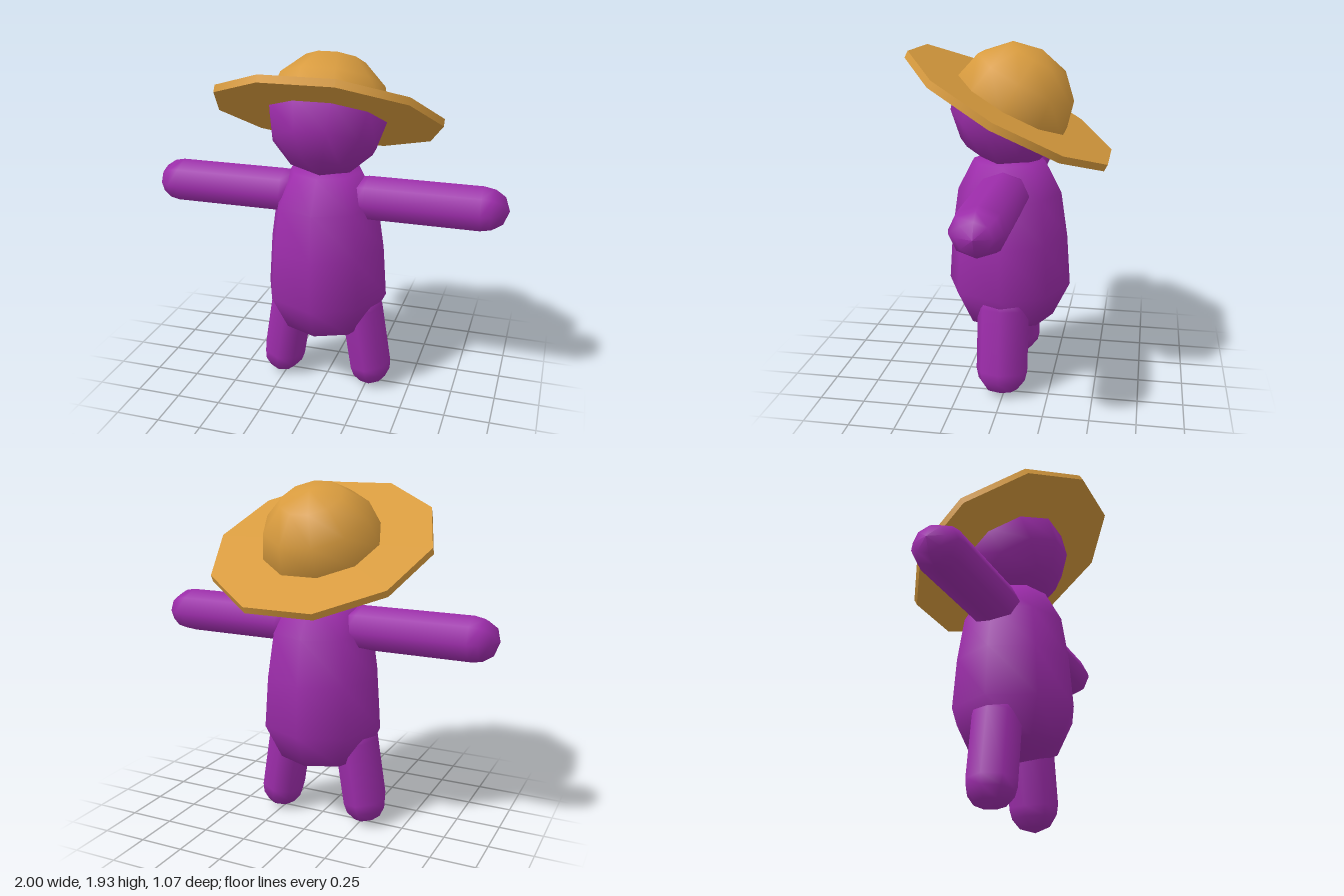
import * as THREE from 'three';

const purple = new THREE.MeshStandardMaterial({ name: 'purple', color: 0x9c2caa });
const straw = new THREE.MeshStandardMaterial({ name: 'straw', color: 0xd89b3e });

const lathe = (profile, sides) =>
  new THREE.LatheGeometry(profile.map(([r, y]) => new THREE.Vector2(r, y)), sides);

function addMesh(parent, name, geometry, material) {
  const mesh = new THREE.Mesh(geometry, material);
  mesh.name = name;
  parent.add(mesh);
  return mesh;
}

// Rounded limb running up from its tip at the origin, slightly flattened across x
function limbGeometry(length) {
  const cap = [[0, 0], [0.09, 0.03], [0.132, 0.085], [0.145, 0.14]];
  const top = cap.map(([r, y]) => [r, length - y]).reverse();
  return lathe([...cap, ...top], 8).scale(0.865, 1, 1);
}

export function createModel() {
  const model = new THREE.Group();
  model.name = 'figure';

  // Pear-shaped body
  const body = lathe([
    [0, 0.33], [0.255, 0.39], [0.35, 0.585], [0.33, 0.87],
    [0.293, 1.12], [0.2, 1.3], [0, 1.315],
  ], 8);
  addMesh(model, 'body', body, purple).position.z = 0.012;

  // Arms and legs, mirrored
  for (const [label, side] of [['left', 1], ['right', -1]]) {
    const arm = addMesh(model, label + 'Arm', limbGeometry(0.9), purple);
    arm.position.set(side, 1.155, 0.01);
    arm.rotation.z = side * Math.PI / 2;

    const leg = addMesh(model, label + 'Leg', limbGeometry(0.64), purple);
    leg.position.set(side * 0.285, 0.005, 0.012);
    leg.rotation.z = side * 0.155;
  }

  // Head and hat share one backward tilt
  const head = new THREE.Group();
  head.name = 'headAndHat';
  head.position.set(0, 1.6, -0.003);
  head.rotation.x = THREE.MathUtils.degToRad(-28.3);
  model.add(head);

  addMesh(head, 'head', new THREE.SphereGeometry(0.335, 10, 6), purple);
  addMesh(head, 'hatCrown',
    new THREE.SphereGeometry(0.342, 10, 3, 0, Math.PI * 2, 0, Math.PI / 2), straw);
  const brim = new THREE.CylinderGeometry(0.63, 0.63, 0.04, 10).rotateY(Math.PI / 10);
  addMesh(head, 'hatBrim', brim, straw);

  return model;
}
